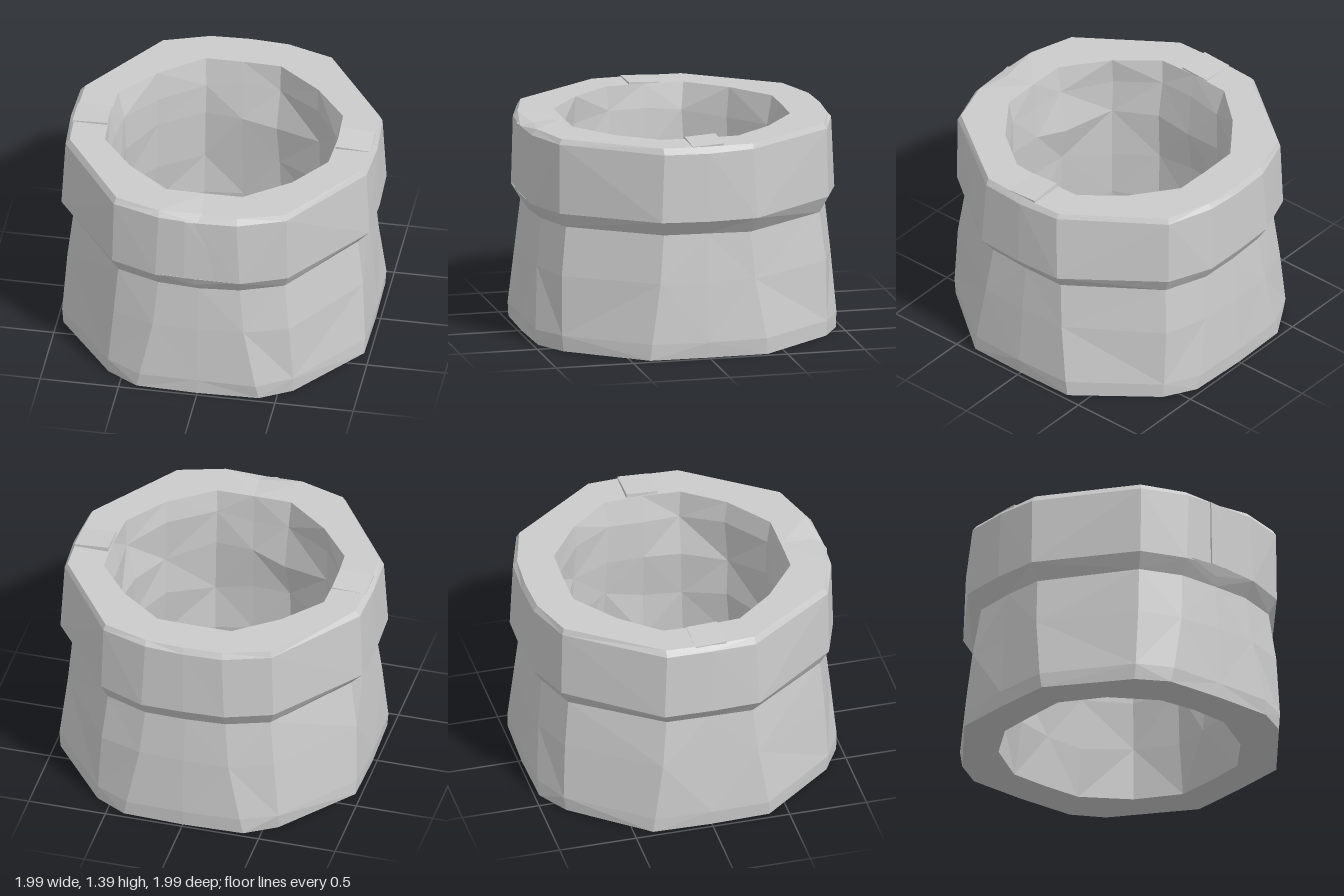
import * as THREE from 'three';
import { ConvexGeometry } from 'three/addons/geometries/ConvexGeometry.js';

const stone = new THREE.MeshStandardMaterial({ color: 0xcccccc, flatShading: true });

function makeRandom(seed) {
  return () => {
    seed = (seed * 16807) % 2147483647;
    return seed / 2147483647 - 0.5;
  };
}

// Sixteen-point outline mirrored from one quarter, running from +x towards +z
function outline({ x, z, side, corner, front, y, rough }, random) {
  const q = [[x, 0], [x * 0.988, side], corner, [front, z * 0.99], [0, z]];
  const flat = [
    ...q,
    ...q.slice(0, 4).reverse().map(([a, b]) => [-a, b]),
    ...q.slice(1).map(([a, b]) => [-a, -b]),
    ...q.slice(1, 4).reverse().map(([a, b]) => [a, -b]),
  ];
  return flat.map(([a, b]) => {
    const k = 1 + random() * rough;
    const lift = y > 0.01 && y < 1.36 ? random() * rough : 0;
    return new THREE.Vector3(a * k, y + lift, b * k);
  });
}

// Joins a closed loop of rings into a faceted, hollow body
function loft(rings) {
  const positions = [];
  const put = (...points) => points.forEach((p) => positions.push(p.x, p.y, p.z));
  rings.forEach((ring, r) => {
    const up = rings[(r + 1) % rings.length];
    ring.forEach((p, i) => {
      const j = (i + 1) % ring.length;
      if ((i + r) % 2) put(p, up[i], up[j], p, up[j], ring[j]);
      else put(p, up[i], ring[j], ring[j], up[i], up[j]);
    });
  });
  const geometry = new THREE.BufferGeometry();
  geometry.setAttribute('position', new THREE.Float32BufferAttribute(positions, 3));
  geometry.computeVertexNormals();
  return geometry;
}

function addMesh(group, name, geometry) {
  const mesh = new THREE.Mesh(geometry, stone);
  mesh.name = name;
  group.add(mesh);
  return mesh;
}

const hull = (points) => new ConvexGeometry(points.map((p) => new THREE.Vector3(...p)));

export function createModel() {
  const group = new THREE.Group();
  group.name = 'stoneRing';
  const random = makeRandom(71);

  // Outer wall from the foot up, then the inner wall back down
  const levels = [
    { y: 0, x: 0.975, z: 0.975, side: 0.38, corner: [0.59, 0.85], front: 0.39, rough: 0.01 },
    { y: 0.1, x: 0.98, z: 0.985, side: 0.37, corner: [0.59, 0.86], front: 0.37, rough: 0.012 },
    { y: 0.48, x: 0.955, z: 0.96, side: 0.31, corner: [0.56, 0.85], front: 0.29, rough: 0.02 },
    { y: 0.79, x: 0.92, z: 0.93, side: 0.28, corner: [0.53, 0.82], front: 0.26, rough: 0.01 },
    { y: 0.89, x: 0.996, z: 0.992, side: 0.31, corner: [0.56, 0.87], front: 0.27, rough: 0.01 },
    { y: 1.33, x: 0.978, z: 0.98, side: 0.29, corner: [0.55, 0.865], front: 0.25, rough: 0.01 },
    { y: 1.365, x: 0.95, z: 0.955, side: 0.29, corner: [0.54, 0.85], front: 0.25, rough: 0.01 },
    { y: 1.365, x: 0.725, z: 0.71, side: 0.25, corner: [0.52, 0.5], front: 0.24, rough: 0.02 },
    { y: 1.2, x: 0.69, z: 0.68, side: 0.23, corner: [0.52, 0.49], front: 0.23, rough: 0.07 },
    { y: 0.95, x: 0.67, z: 0.66, side: 0.24, corner: [0.51, 0.49], front: 0.23, rough: 0.08 },
    { y: 0.65, x: 0.69, z: 0.68, side: 0.25, corner: [0.53, 0.51], front: 0.24, rough: 0.08 },
    { y: 0.33, x: 0.7, z: 0.7, side: 0.26, corner: [0.54, 0.52], front: 0.25, rough: 0.07 },
    { y: 0, x: 0.74, z: 0.73, side: 0.27, corner: [0.55, 0.53], front: 0.26, rough: 0.03 },
  ];
  const rings = levels.map((level) => outline(level, random));

  // Chipped front edge of the rim
  rings[6][4].set(0.02, 1.35, 0.91);
  addMesh(group, 'ringWall', loft(rings));

  // Tilted stone pieces on either side of the rim
  const piece = new THREE.BoxGeometry(0.22, 0.04, 0.2);
  const leftPiece = addMesh(group, 'leftRimPiece', piece);
  leftPiece.position.set(0.84, 1.36, 0);
  leftPiece.rotation.set(0.06, 0, -0.06);
  const rightPiece = addMesh(group, 'rightRimPiece', piece);
  rightPiece.position.set(-0.84, 1.352, 0);
  rightPiece.rotation.set(-0.04, 0, 0.03);

  // Split face and broken lip on the front of the upper band
  addMesh(group, 'splitFace', hull([
    [-0.08, 0.9, 1], [-0.08, 1.33, 0.99], [0.25, 0.9, 0.98], [0.25, 1.3, 0.96],
    [-0.08, 0.9, 0.94], [-0.08, 1.35, 0.93],
  ]));
  addMesh(group, 'brokenLip', hull([
    [-0.24, 0.9, 0.985], [0.25, 0.89, 0.985], [-0.03, 0.9, 0.998], [-0.03, 0.835, 0.97], [-0.03, 0.88, 0.9],
  ]));

  return group;
}
